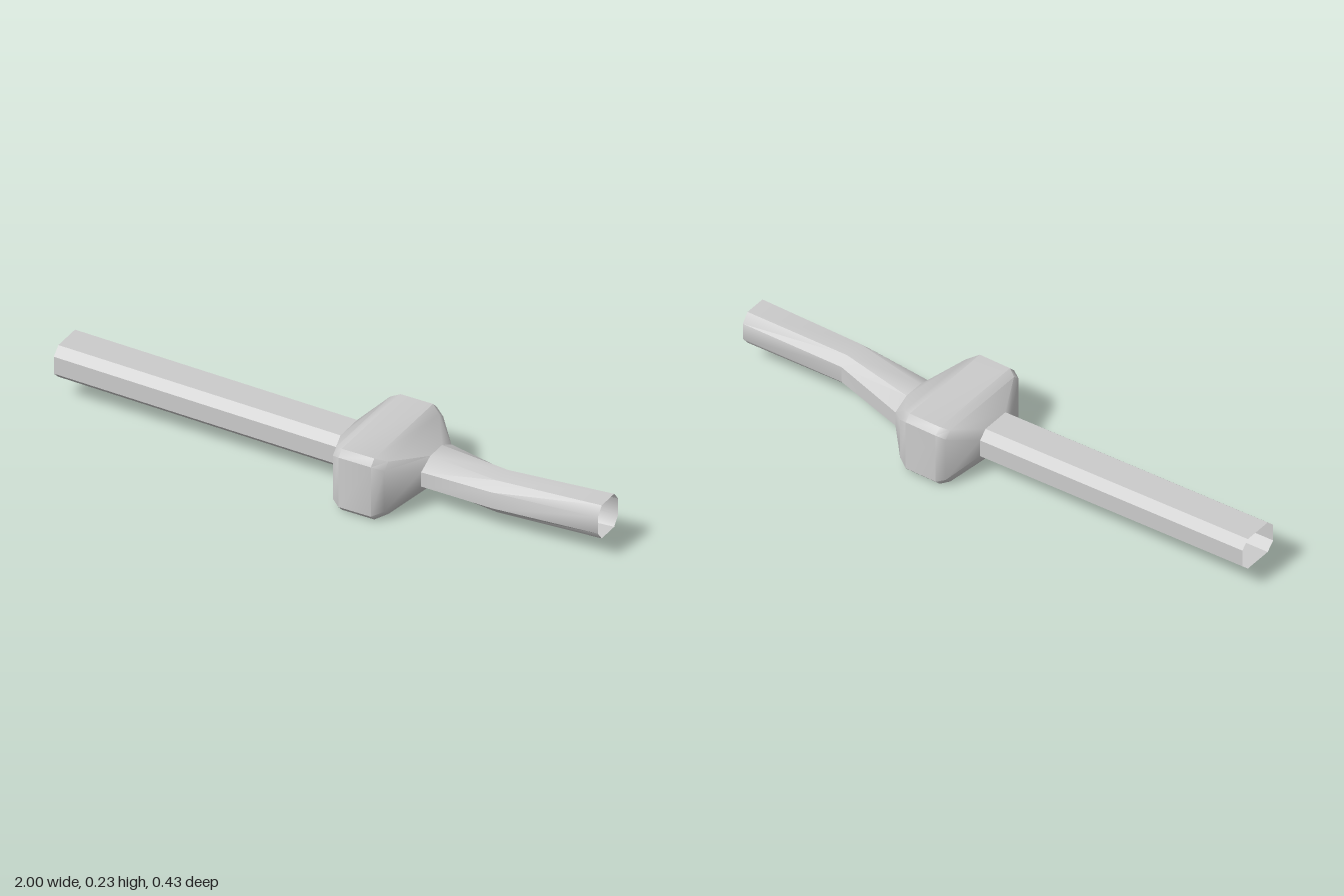
import * as THREE from 'three';
import { toCreasedNormals } from 'three/addons/utils/BufferGeometryUtils.js';

const material = new THREE.MeshStandardMaterial({ color: 0xcccccc, side: THREE.DoubleSide });

// Chamfered rectangle in the yz plane: [x, yMin, yMax, zMin, zMax, chamferY, chamferZ]
function ring([x, y0, y1, z0, z1, cy, cz]) {
  return [
    [x, y1, z0 + cz], [x, y1, z1 - cz],
    [x, y1 - cy, z1], [x, y0 + cy, z1],
    [x, y0, z1 - cz], [x, y0, z0 + cz],
    [x, y0 + cy, z0], [x, y1 - cy, z0],
  ];
}

// Open-ended shell through a row of cross-sections
function loft(name, sections) {
  const positions = sections.flatMap(ring).flat();
  const index = [];
  for (let i = 0; i < sections.length - 1; i++) {
    for (let j = 0; j < 8; j++) {
      const k = (j + 1) % 8;
      const a = i * 8 + j, b = i * 8 + k;
      index.push(a, b, a + 8, b, b + 8, a + 8);
    }
  }
  const geometry = new THREE.BufferGeometry();
  geometry.setAttribute('position', new THREE.Float32BufferAttribute(positions, 3));
  geometry.setIndex(index);
  const mesh = new THREE.Mesh(toCreasedNormals(geometry, 0.72), material);
  mesh.name = name;
  return mesh;
}

export function createModel() {
  const group = new THREE.Group();
  group.name = 'pipeWithChamber';

  // Where the pipes meet the chamber
  const leftNeck = [0.04, 0.06, 0.18, -0.088, 0.08, 0.028, 0.03];
  const rightNeck = [0.35, 0.063, 0.177, -0.125, 0.071, 0.03, 0.06];

  group.add(loft('longPipe', [
    [-1, 0.085, 0.205, -0.081, 0.087, 0.028, 0.03],
    leftNeck,
  ]));

  // Hollow bulge, open to both pipes
  group.add(loft('chamber', [
    leftNeck,
    [0.095, 0.014, 0.222, -0.2, 0.197, 0.022, 0.025],
    [0.125, 0.001, 0.232, -0.213, 0.213, 0.022, 0.022],
    [0.245, 0.001, 0.232, -0.213, 0.213, 0.022, 0.022],
    [0.28, 0.017, 0.215, -0.195, 0.187, 0.022, 0.025],
    rightNeck,
  ]));

  // Short pipe with a bend
  group.add(loft('bentPipe', [
    rightNeck,
    [0.62, 0.07, 0.19, -0.05, 0.083, 0.03, 0.03],
    [1, 0.08, 0.205, -0.068, 0.065, 0.032, 0.026],
  ]));

  return group;
}
